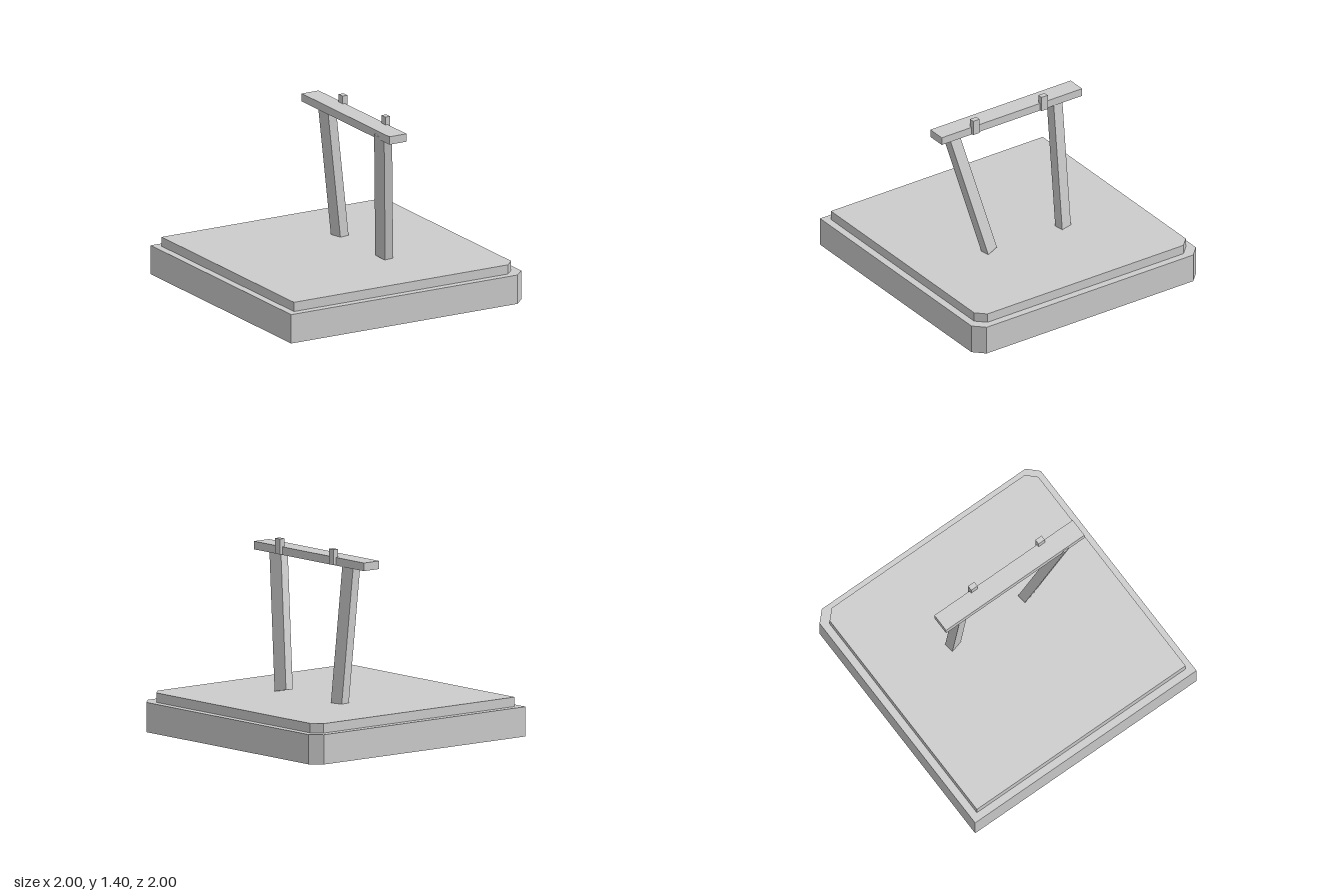
import * as THREE from 'three';

const material = new THREE.MeshStandardMaterial({ color: 0xcccccc, flatShading: true });

function addMesh(group, name, geometry) {
  const mesh = new THREE.Mesh(geometry, material);
  mesh.name = name;
  group.add(mesh);
  return mesh;
}

// Square slab whose two corners on the +x side are cut off
function slab(half, cut, y0, y1) {
  const shape = new THREE.Shape([
    [-half, -half], [half - cut, -half], [half, -half + cut],
    [half, half - cut], [half - cut, half], [-half, half],
  ].map(([x, y]) => new THREE.Vector2(x, y)));
  return new THREE.ExtrudeGeometry(shape, { depth: y1 - y0, bevelEnabled: false })
    .rotateX(-Math.PI / 2)
    .translate(0, y0, 0);
}

// Slanted post: a unit box mapped onto side vectors u, v and length vector w
function post(foot, u, w, v) {
  const [c, a, l, b] = [foot, u, w, v].map((p) => new THREE.Vector3(...p));
  const matrix = new THREE.Matrix4().makeBasis(a, l, b).setPosition(c);
  const geometry = new THREE.BoxGeometry(1, 1, 1).translate(0, 0.5, 0).applyMatrix4(matrix);
  geometry.computeVertexNormals();
  return geometry;
}

export function createModel() {
  const group = new THREE.Group();
  group.name = 'postsOnPlinth';

  // Stepped base
  addMesh(group, 'baseSlab', slab(1, 0.08, 0, 0.22));
  addMesh(group, 'upperSlab', slab(0.943, 0.07, 0.22, 0.29));

  // Leaning posts
  addMesh(group, 'frontPost', post(
    [0.189, 0.298, 0.328], [0.073, 0.004, -0.01], [-0.155, 1.01, 0.245], [0.028, -0.02, 0.096]));
  addMesh(group, 'backPost', post(
    [0.2, 0.288, -0.322], [0.075, 0.004, -0.01], [-0.11, 1.01, 0], [0.025, 0, 0.094]));

  // Crossbar
  addMesh(group, 'crossbar', new THREE.BoxGeometry(0.145, 0.06, 1.25))
    .position.set(0.0725, 1.315, 0.095);

  // Pegs on the side of the crossbar
  for (const [name, z] of [['frontPeg', 0.425], ['backPeg', -0.183]]) {
    addMesh(group, name, new THREE.BoxGeometry(0.04, 0.115, 0.056))
      .position.set(0.145, 1.347, z);
  }
  return group;
}
